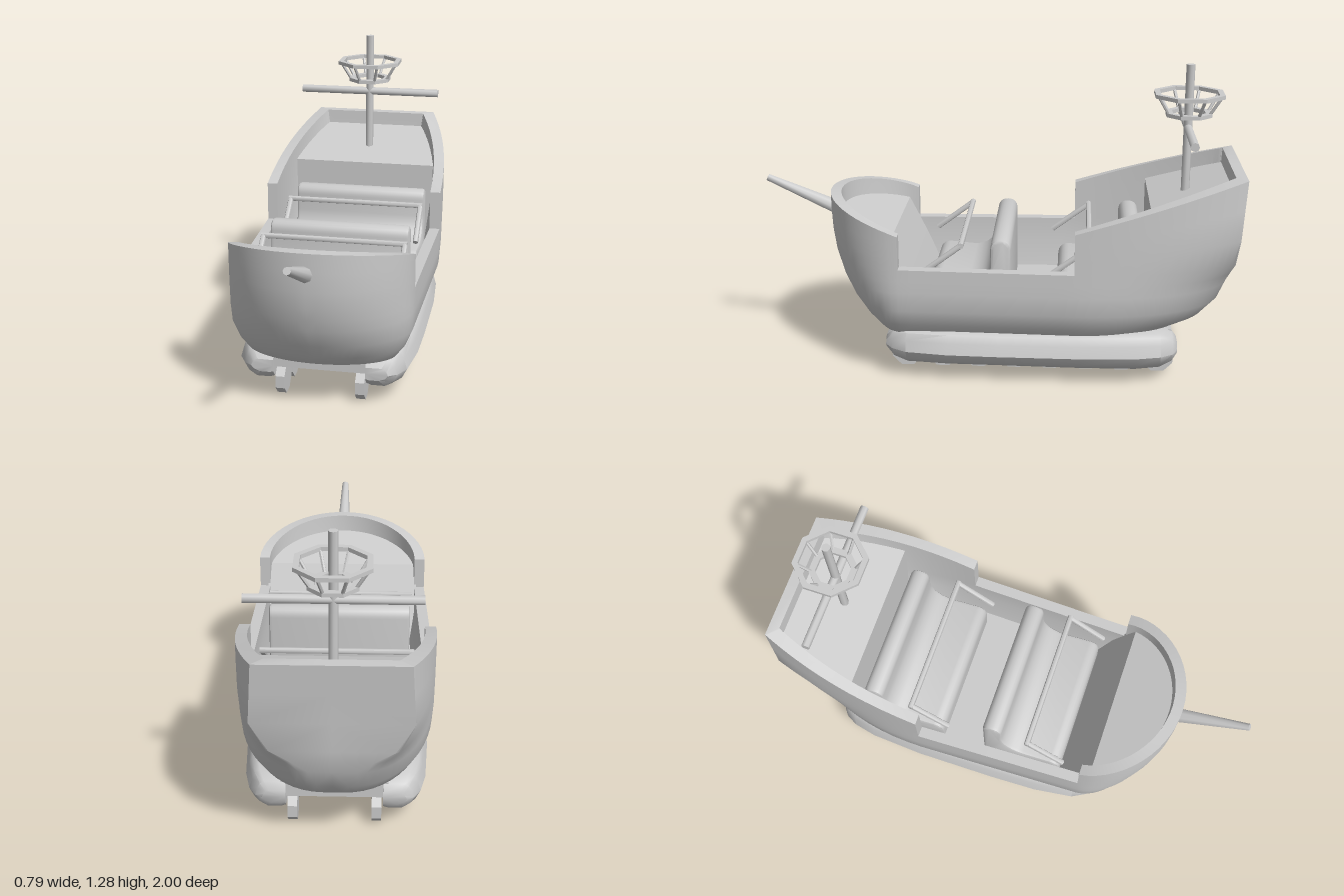
import * as THREE from 'three';
import { mergeGeometries, toCreasedNormals } from 'three/addons/utils/BufferGeometryUtils.js';

const smooth = new THREE.MeshStandardMaterial({ color: 0xcccccc, side: THREE.DoubleSide });
const flat = new THREE.MeshStandardMaterial({ color: 0xcccccc, side: THREE.DoubleSide, flatShading: true });
const lerp = THREE.MathUtils.lerp;

function add(parent, name, geometry, material = smooth) {
  const mesh = new THREE.Mesh(geometry, material);
  mesh.name = name;
  parent.add(mesh);
  return mesh;
}

// Surface through rows of points; side = -1 mirrors it in x
function grid(rows, side = 1) {
  const n = rows[0].length, pos = [], index = [];
  rows.forEach(row => row.forEach(p => pos.push(p[0] * side, p[1], p[2])));
  for (let j = 0; j < rows.length - 1; j++) for (let i = 0; i < n - 1; i++) {
    const a = j * n + i, b = a + 1, c = b + n, d = a + n;
    index.push(...(side > 0 ? [a, b, c, a, c, d] : [a, c, b, a, d, c]));
  }
  const g = new THREE.BufferGeometry();
  g.setAttribute('position', new THREE.Float32BufferAttribute(pos, 3));
  g.setIndex(index);
  return g;
}

function rod(parent, name, a, b, r0, r1 = r0, sides = 8) {
  const from = new THREE.Vector3(...a), dir = new THREE.Vector3(...b).sub(from);
  const mesh = add(parent, name, toCreasedNormals(new THREE.CylinderGeometry(r1, r0, dir.length(), sides), 0.9));
  mesh.position.copy(from).addScaledVector(dir, 0.5);
  mesh.quaternion.setFromUnitVectors(new THREE.Vector3(0, 1, 0), dir.normalize());
  return mesh;
}

// Hull levels: height, half width, bow z, stern z, half width of the transom
const LEVELS = [
  [0.17, 0.24, 0.46, -0.66, 0.03], [0.2, 0.32, 0.53, -0.76, 0.03], [0.25, 0.36, 0.58, -0.87, 0.04],
  [0.32, 0.39, 0.63, -0.93, 0.06], [0.4, 0.395, 0.67, -0.957, 0.09], [0.45, 0.395, 0.685, -0.97, 0.15],
  [0.5, 0.395, 0.7, -0.975, 0.23], [0.6, 0.395, 0.715, -0.98, 0.3], [0.9, 0.395, 0.72, -1.002, 0.28]];
const BOW = 0.39, STERN = -0.32, WALL = 0.045, WAIST = 0.5, FLOOR = 0.28;

function level(y) {
  let i = 0;
  while (i < LEVELS.length - 2 && y > LEVELS[i + 1][0]) i++;
  const a = LEVELS[i], b = LEVELS[i + 1], k = THREE.MathUtils.clamp((y - a[0]) / (b[0] - a[0]), 0, 1);
  return a.map((v, n) => lerp(v, b[n], k));
}

// Half width of the hull at a height and z, inset by t
function halfWidth(y, z, t) {
  const [, w, zb, zs, ws] = level(y);
  if (z >= BOW) {
    const s = Math.min(1, (z - BOW) / (zb - t - BOW));
    return (0.95 * w - t) * Math.sqrt(Math.max(0, 1 - s ** 1.8));
  }
  if (z >= STERN) return w * lerp(0.95, 1, (BOW - z) / (BOW - STERN)) - t;
  const s = Math.min(1, (STERN - z) / (STERN - zs - t));
  const e = lerp(0.5, 1, THREE.MathUtils.smoothstep(y, 0.4, 0.62));
  return lerp(Math.max(0, ws - t), w - t, Math.max(0, 1 - s ** 2.2) ** e);
}

function hullPoint(section, s, y, t) {
  const [, , zb, zs] = level(y);
  const q = Math.min(s, 1);
  const z = section === 'bow' ? lerp(zb - t, BOW, q) : section === 'mid' ? lerp(BOW, STERN, q) : lerp(STERN, zs + t, q);
  return [s > 1 ? 0 : halfWidth(y, z, t), y, z];
}

const rimHeight = (section, z) =>
  section === 'bow' ? lerp(0.64, 0.735, ((z - BOW) / 0.33) ** 0.9 || 0)
    : section === 'mid' ? WAIST : lerp(0.67, 0.873, (STERN - z) / 0.68);

function buildHull(parent) {
  const N = 14, parts = [];
  const ease = k => Math.sin(k * Math.PI / 2);
  for (const section of ['bow', 'mid', 'stern']) {
    const cols = [];
    for (let i = 0; i <= N; i++) {
      const k = i / N;
      cols.push(section === 'bow' ? 1 - ease(1 - k) : section === 'mid' ? k : ease(k));
    }
    if (section === 'stern') cols.push(2); // middle of the transom
    const rims = cols.map(s => rimHeight(section, Math.max(-1, hullPoint(section, s, 0.75, 0)[2])));
    const row = (t, height) => cols.map((s, i) => hullPoint(section, s, height(rims[i]), t));
    const rows = [row(0, () => 0.17).map(p => [0, 0.165, p[2]])];
    LEVELS.slice(0, 7).forEach(l => rows.push(row(0, () => l[0])));
    if (section !== 'mid') for (const k of [0.33, 0.67, 1]) rows.push(row(0, r => lerp(WAIST, r, k)));
    // rim and inner wall
    rows.push(row(WALL, r => r));
    for (const y of [WAIST, 0.4, FLOOR]) rows.push(row(WALL, () => y));
    for (const side of [1, -1]) parts.push(grid(rows, side));
  }
  // upright wall ends where the rim steps down
  for (const [section, z, dir] of [['bow', BOW, -1], ['stern', STERN, 1]]) {
    const end = [WAIST, rimHeight(section, z)].map(y => [0, WALL].map(t => [halfWidth(y, z, t), y, z]));
    if (dir < 0) end.forEach(r => r.reverse());
    for (const side of [1, -1]) parts.push(grid(end, side));
  }
  add(parent, 'hull', toCreasedNormals(mergeGeometries(parts), 0.6));

  // stern deck, bulkhead, floor, sloping bulkhead and bow deck in one run
  const run = [[-0.96, 0.812], [-0.85, 0.775], [-0.74, 0.738], [-0.63, 0.702], [-0.63, FLOOR], [-0.3, FLOOR],
    [0, FLOOR], [0.28, FLOOR], [0.355, 0.44], [0.43, 0.595]];
  for (let i = 1; i <= 8; i++) run.push([lerp(0.43, 0.683, ease(i / 8)), lerp(0.595, 0.665, ease(i / 8))]);
  const edge = s => run.map(([z, y]) => [s * halfWidth(y, z, 0.035), y, z]);
  add(parent, 'decksAndFloor', grid([edge(-1), edge(1)].reverse()).toNonIndexed(), flat).geometry.computeVertexNormals();
}

function buildSeatRow(parent, z, barZ) {
  const row = new THREE.Group();
  row.name = 'seatRow';
  const s = new THREE.Shape();
  s.moveTo(-0.03, 0.27);
  s.lineTo(-0.03, 0.565);
  s.quadraticCurveTo(-0.03, 0.597, 0, 0.597);
  s.quadraticCurveTo(0.03, 0.597, 0.03, 0.565);
  s.lineTo(0.03, 0.49);
  s.quadraticCurveTo(0.045, 0.39, 0.14, 0.38);
  s.lineTo(0.26, 0.39);
  s.quadraticCurveTo(0.295, 0.39, 0.295, 0.35);
  s.lineTo(0.295, 0.27);
  const g = new THREE.ExtrudeGeometry(s, { depth: 0.57, bevelSize: 0.012, bevelThickness: 0.015, bevelSegments: 2, curveSegments: 6 });
  g.translate(0, 0, -0.285).rotateY(-Math.PI / 2);
  add(row, 'bench', toCreasedNormals(g, 0.7)).position.z = z;
  // lap bar
  rod(row, 'lapBar', [-0.31, 0.585, barZ], [0.31, 0.585, barZ], 0.012);
  for (const x of [-0.3, 0.3]) rod(row, 'lapBarArm', [x, 0.585, barZ], [x, 0.465, barZ + 0.16], 0.012);
  parent.add(row);
}

function buildUndercarriage(parent) {
  // side skirts: z, width factor, height factor
  const stations = [[0.46, 0, 0], [0.46, 0.5, 0.35], [0.43, 0.68, 0.78], [0.37, 0.85, 0.98], [0.2, 0.97, 1], [0, 1, 1],
    [-0.35, 1, 1.04], [-0.58, 0.92, 1.06], [-0.68, 0.8, 0.98], [-0.73, 0.65, 0.72], [-0.75, 0.5, 0.35], [-0.75, 0, 0]];
  const section = [[0.19, 0.215], [0.19, 0.07], [0.22, 0.06], [0.3, 0.06], [0.35, 0.09], [0.375, 0.13],
    [0.36, 0.175], [0.345, 0.205], [0.32, 0.217], [0.19, 0.215]];
  const rows = section.map(([x, y]) => stations.map(([z, k, m]) => [0.19 + (x - 0.19) * k, 0.14 + (y - 0.14) * m, z]));
  for (const side of [1, -1]) add(parent, side > 0 ? 'leftSkirt' : 'rightSkirt', toCreasedNormals(grid(rows, side), 0.7));
  add(parent, 'chassisPlate', new THREE.BoxGeometry(0.42, 0.07, 1.17).translate(0, 0.165, -0.145));
  // eight wheels on each side
  const wheel = new THREE.CylinderGeometry(0.068, 0.068, 0.038, 8).rotateY(Math.PI / 8).rotateZ(Math.PI / 2);
  for (const x of [-0.165, 0.165]) for (let i = 0; i < 8; i++) {
    add(parent, 'wheel', wheel, flat).position.set(x, 0.063, 0.385 - i * 0.152);
  }
}

function buildMast(parent) {
  const mast = new THREE.Group();
  mast.name = 'mastGroup';
  mast.position.z = -0.778;
  rod(mast, 'mast', [0, 0.72, 0], [0, 1.28, 0], 0.018);
  rod(mast, 'yard', [-0.325, 1.015, 0], [0.325, 1.015, 0], 0.018);
  // lookout basket: two octagonal rings joined by struts
  const ring = (name, inner, outer, y) => {
    const p = [[inner, -0.008], [outer, -0.008], [outer, 0.008], [inner, 0.008], [inner, -0.008]];
    const g = new THREE.LatheGeometry(p.map(q => new THREE.Vector2(...q)), 8).rotateY(Math.PI / 8);
    add(mast, name, g, flat).position.y = y;
  };
  ring('basketLowerRing', 0.072, 0.1, 1.075);
  ring('basketUpperRing', 0.128, 0.152, 1.156);
  for (let i = 0; i < 8; i++) {
    const a = (i + 0.5) * Math.PI / 4, c = Math.cos(a), s = Math.sin(a);
    rod(mast, 'basketStrut', [c * 0.088, 1.075, s * 0.088], [c * 0.138, 1.156, s * 0.138], 0.007, 0.007, 6);
  }
  parent.add(mast);
}

export function createModel() {
  const ship = new THREE.Group();
  ship.name = 'shipRide';
  buildHull(ship);
  buildSeatRow(ship, -0.02, 0.14);
  buildSeatRow(ship, -0.555, -0.38);
  buildUndercarriage(ship);
  buildMast(ship);
  rod(ship, 'bowsprit', [0, 0.64, 0.69], [0, 0.772, 0.994], 0.032, 0.015);
  return ship;
}
